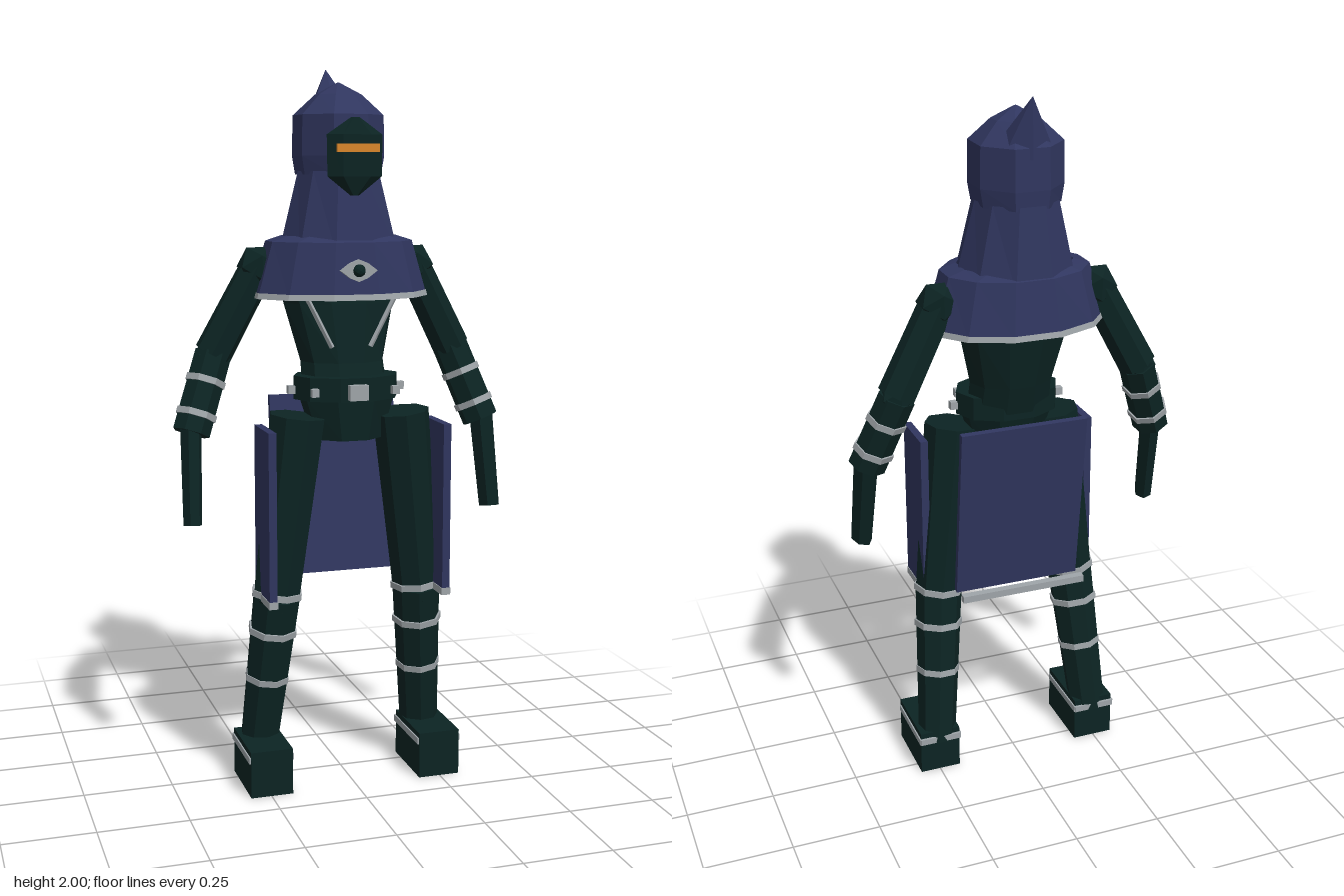
import * as THREE from 'three';

const mat = (name, color, side = THREE.FrontSide) => {
  const m = new THREE.MeshStandardMaterial({ color, flatShading: true, side });
  m.name = name;
  return m;
};

export function createModel() {
  const root = new THREE.Group();
  root.name = 'hoodedFigure';
  const cloth = mat('indigoCloth', 0x30365f, THREE.DoubleSide);
  const suit = mat('darkGreenSuit', 0x0c2423);
  const silver = mat('silver', 0x9fa5a9, THREE.DoubleSide);
  const glow = mat('orangeVisor', 0xd9862b);
  const V = (x, y, z) => new THREE.Vector3(x, y, z);

  const add = (name, geo, material, x = 0, y = 0, z = 0) => {
    const m = new THREE.Mesh(geo, material);
    m.name = name;
    m.position.set(x, y, z);
    root.add(m);
    return m;
  };
  const box = (name, material, w, h, d, x, y, z) =>
    add(name, new THREE.BoxGeometry(w, h, d), material, x, y, z);

  // Tapered segment between two points; r0 at a, r1 at b
  const strut = (name, material, a, b, r0, r1, n = 7, open = false) => {
    const d = b.clone().sub(a);
    const m = add(name, new THREE.CylinderGeometry(r1, r0, d.length(), n, 1, open), material);
    m.position.copy(a).add(b).multiplyScalar(0.5);
    m.quaternion.setFromUnitVectors(V(0, 1, 0), d.normalize());
    return m;
  };
  // Silver band around a limb at fraction t
  const band = (name, a, b, t, r, n = 7) => {
    const c = a.clone().lerp(b, t), d = b.clone().sub(a).normalize().multiplyScalar(0.009);
    strut(name, silver, c.clone().sub(d), c.clone().add(d), r, r, n);
  };

  // Stacked elliptical rings, listed bottom to top: [y, rx, rz, cz]
  const loft = (name, material, rings, n, caps = true) => {
    const pos = [], idx = [];
    for (const [y, rx, rz, cz] of rings)
      for (let i = 0; i < n; i++) {
        const a = ((i + 0.5) / n) * Math.PI * 2;
        pos.push(Math.sin(a) * rx, y, cz + Math.cos(a) * rz);
      }
    for (let k = 0; k < rings.length - 1; k++)
      for (let i = 0; i < n; i++) {
        const a = k * n + i, b = k * n + ((i + 1) % n);
        idx.push(a, b, a + n, b, b + n, a + n);
      }
    if (caps) {
      const top = (rings.length - 1) * n;
      for (let i = 1; i < n - 1; i++) idx.push(0, i + 1, i, top, top + i, top + i + 1);
    }
    const g = new THREE.BufferGeometry();
    g.setAttribute('position', new THREE.Float32BufferAttribute(pos, 3));
    g.setIndex(idx);
    g.computeVertexNormals();
    return add(name, g, material);
  };

  // Torso, pelvis and belt
  loft('torso', suit, [
    [1.1, 0.125, 0.1, 0.045], [1.2, 0.12, 0.095, 0.015],
    [1.36, 0.16, 0.1, -0.015], [1.47, 0.19, 0.09, -0.025], [1.53, 0.1, 0.07, -0.02],
  ], 10);
  loft('pelvis', suit, [[0.99, 0.1, 0.08, 0.065], [1.1, 0.135, 0.1, 0.055]], 8);
  loft('belt', suit, [[1.1, 0.15, 0.11, 0.05], [1.165, 0.15, 0.11, 0.05]], 10);
  box('beltBuckle', silver, 0.052, 0.042, 0.025, 0, 1.127, 0.165);

  // Hood with a backward-leaning peak
  loft('hood', cloth, [
    [1.71, 0.118, 0.128, -0.023], [1.76, 0.127, 0.133, -0.022],
    [1.87, 0.125, 0.13, -0.022], [1.925, 0.065, 0.065, -0.02], [1.957, 0.004, 0.004, -0.02],
  ], 8);
  const peak = strut('hoodPeak', cloth, V(0, 1.86, -0.09), V(0, 2, -0.14), 0.08, 0, 6);
  peak.scale.z = 0.75;

  // Cape, shoulder capelet and hem
  loft('cape', cloth, [[1.5, 0.172, 0.158, -0.015], [1.72, 0.115, 0.128, -0.022]], 10, false);
  loft('capelet', cloth, [
    [1.38, 0.252, 0.178, -0.016], [1.53, 0.208, 0.155, -0.015], [1.545, 0.16, 0.14, -0.015],
  ], 12, false);
  loft('capeletHem', silver, [[1.376, 0.255, 0.181, -0.016], [1.392, 0.251, 0.178, -0.016]], 12, false);

  // Faceted mask and visor
  loft('mask', suit, [
    [1.655, 0.012, 0.008, 0.13], [1.705, 0.076, 0.026, 0.13],
    [1.815, 0.078, 0.028, 0.13], [1.86, 0.012, 0.008, 0.135],
  ], 6);
  box('visor', glow, 0.118, 0.022, 0.009, 0, 1.78, 0.159);

  // Eye-shaped clasp on the chest
  const eye = new THREE.Shape([[-0.052, 0], [-0.025, 0.02], [0, 0.03], [0.025, 0.02],
    [0.052, 0], [0.025, -0.02], [0, -0.03], [-0.025, -0.02]].map(p => new THREE.Vector2(...p)));
  add('clasp', new THREE.ExtrudeGeometry(eye, { depth: 0.012, bevelEnabled: false }), silver, 0, 1.457, 0.16);
  add('claspGem', new THREE.IcosahedronGeometry(0.018, 1), suit, 0, 1.457, 0.17);

  for (const s of [1, -1]) {
    // Chest straps and belt studs
    strut('chestStrap', silver, V(s * 0.055, 1.245, 0.102), V(s * 0.125, 1.38, 0.102), 0.007, 0.007, 4);
    box('beltStud', silver, 0.02, 0.022, 0.02, s * 0.115, 1.127, 0.138);
    box('beltSideStud', silver, 0.02, 0.022, 0.02, s * 0.158, 1.127, 0.05);

    // Arm
    const sh = V(s * 0.225, 1.46, -0.04), el = V(s * 0.352, 1.22, -0.058);
    const wr = V(s * 0.428, 1.01, -0.005), hand = V(s * 0.438, 0.762, 0.048);
    add('shoulder', new THREE.IcosahedronGeometry(0.062, 0), suit, sh.x, sh.y, sh.z);
    strut('upperArm', suit, sh, el, 0.05, 0.054);
    add('elbow', new THREE.IcosahedronGeometry(0.053, 0), suit, el.x, el.y, el.z);
    strut('forearm', suit, el, wr, 0.052, 0.053);
    band('forearmBand', el, wr, 0.35, 0.057);
    band('wristBand', el, wr, 0.77, 0.058);
    const glove = strut('glove', suit, wr.clone().setY(1.04), hand, 0.042, 0.036, 6);
    glove.scale.x = 0.72;

    // Leg
    const hip = V(s * 0.15, 1.06, 0.085), knee = V(s * 0.207, 0.55, 0.066);
    const ankle = V(s * 0.245, 0.09, -0.005);
    strut('thigh', suit, hip, knee, 0.08, 0.068, 8);
    add('kneeJoint', new THREE.IcosahedronGeometry(0.07, 0), suit, knee.x, knee.y, knee.z);
    strut('shin', suit, knee, ankle, 0.068, 0.055, 8);
    band('kneeBand', hip, knee, 0.985, 0.074, 8);
    band('calfBand', knee, ankle, 0.22, 0.071, 8);
    band('lowerCalfBand', knee, ankle, 0.53, 0.064, 8);

    // Boot with trim on the sides and heel
    box('boot', suit, 0.12, 0.132, 0.205, s * 0.248, 0.066, 0.058);
    for (const e of [1, -1])
      box('bootSideTrim', silver, 0.006, 0.018, 0.205, s * 0.248 + e * 0.061, 0.107, 0.053);
    box('bootHeelTrim', silver, 0.124, 0.018, 0.008, s * 0.248, 0.107, -0.049);

    // Hip panel
    box('hipPanel', cloth, 0.022, 0.465, 0.155, s * 0.249, 0.8, 0.117);
    box('hipPanelHem', silver, 0.026, 0.02, 0.159, s * 0.249, 0.558, 0.117);
  }

  // Slanted rear panel and its hem
  const rear = box('rearPanel', cloth, 0.37, 0.515, 0.018, 0, 0.838, -0.058);
  rear.rotation.x = -0.125;
  box('rearPanelHem', silver, 0.37, 0.02, 0.022, 0, 0.587, -0.085);

  return root;
}
